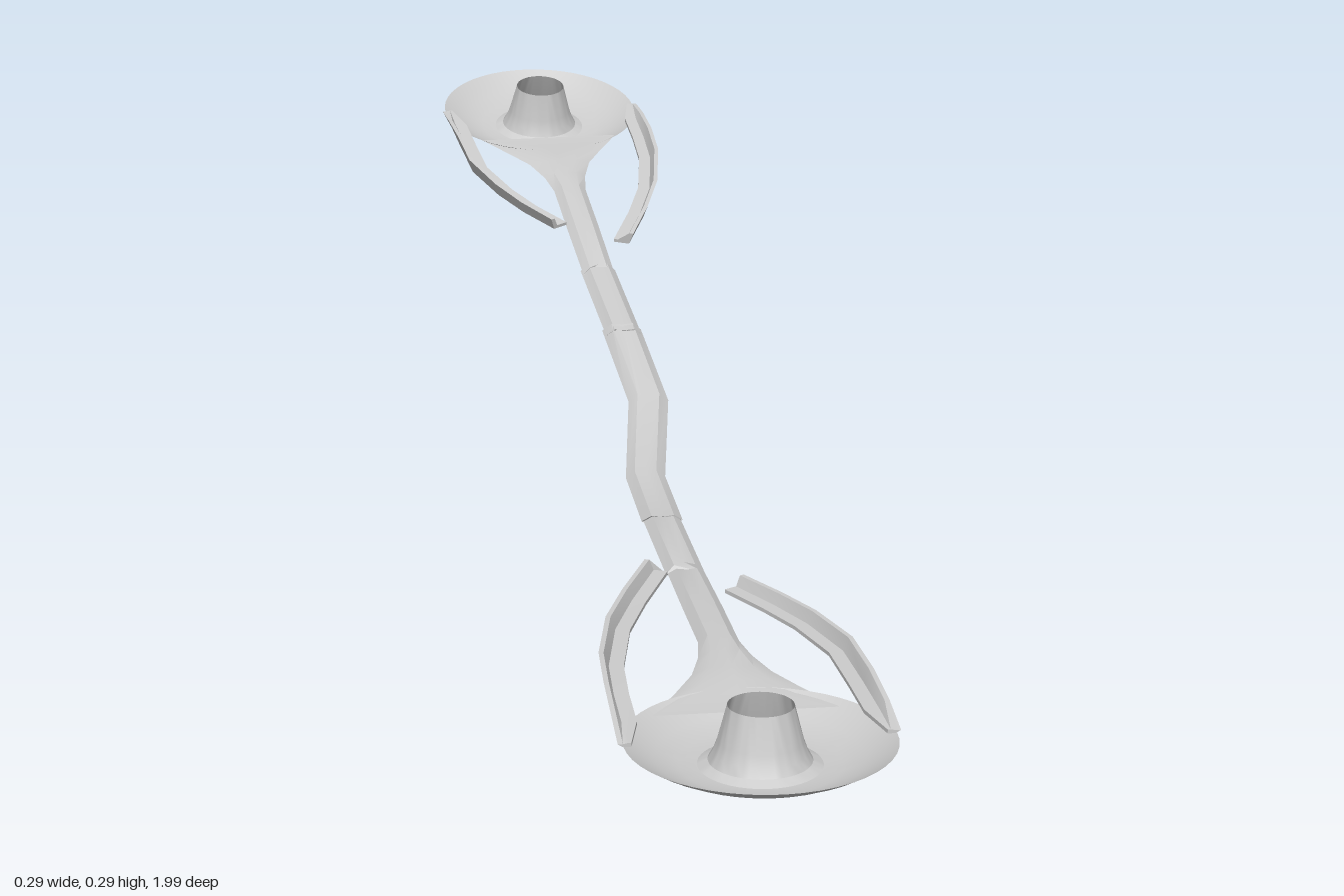
import * as THREE from 'three';
import { toCreasedNormals } from 'three/addons/utils/BufferGeometryUtils.js';

const grey = new THREE.MeshStandardMaterial({ color: 0xcccccc, side: THREE.DoubleSide });

function addMesh(parent, geometry, name) {
  const mesh = new THREE.Mesh(toCreasedNormals(geometry, 0.5), grey);
  mesh.name = name;
  parent.add(mesh);
  return mesh;
}

// Skin a row of equal closed loops (counter-clockwise, running towards +z), capped at both ends
function loft(loops) {
  const n = loops[0].length, pos = [], idx = [];
  loops.forEach(l => l.forEach(p => pos.push(...p)));
  for (let i = 0; i < loops.length - 1; i++) {
    for (let j = 0; j < n; j++) {
      const a = i * n + j, b = i * n + (j + 1) % n;
      idx.push(a, b, b + n, a, b + n, a + n);
    }
  }
  const last = (loops.length - 1) * n;
  for (let j = 1; j < n - 1; j++) {
    idx.push(0, j + 1, j, last, last + j, last + j + 1);
  }
  const g = new THREE.BufferGeometry();
  g.setAttribute('position', new THREE.Float32BufferAttribute(pos, 3));
  g.setIndex(idx);
  return g;
}

// Flat six-sided section; shift(x) moves points along z for pointed or curved ends
function bar(x, y, z, halfWidth, halfHeight, shift = () => 0) {
  return [[1, 0], [0.55, 1], [0, 1.1], [-0.55, 1], [-1, 0], [-0.55, -1], [0, -1.1], [0.55, -1]]
    .map(([u, v]) => [x + u * halfWidth, y + v * halfHeight, z + shift(u * halfWidth)]);
}
const chevron = x => 0.012 - Math.abs(x) * 0.55;

// Shallow dish with a hollow cone rising from its middle, one open sheet
function dish(parent) {
  const profile = [[0.131, 0.025], [0.118, 0.017], [0.1, 0.008], [0.078, 0.001], [0.06, 0.0],
    [0.05, 0.005], [0.045, 0.014], [0.041, 0.025], [0.032, 0.06]]
    .map(([r, y]) => new THREE.Vector2(r, y));
  addMesh(parent, new THREE.LatheGeometry(profile, 48), 'dish');
}

// Stem that flares out to hug the dish rim
function stem(parent) {
  const arc = x => 0.125 - Math.sqrt(0.125 ** 2 - x * x);
  const loops = [
    bar(0, 0.018, -0.48, 0.02, 0.007, chevron),
    bar(0, 0.022, -0.36, 0.021, 0.008),
    bar(0, 0.025, -0.255, 0.021, 0.008),
    bar(0, 0.025, -0.215, 0.027, 0.007),
    bar(0, 0.024, -0.175, 0.04, 0.006, x => arc(x) * 0.5),
    bar(0, 0.022, -0.145, 0.062, 0.005, x => arc(x) * 0.8),
    bar(0, 0.02, -0.122, 0.092, 0.003, arc),
  ];
  addMesh(parent, loft(loops), 'flaredStem');
}

// Curved prong with an angled section; path holds [x, base y, z, height] from tip to rim
function prong(parent, path, side, name) {
  const loops = path.map(([x, y, z, h], i) => {
    const a = path[Math.max(i - 1, 0)], b = path[Math.min(i + 1, path.length - 1)];
    const t = new THREE.Vector2(b[0] - a[0], b[2] - a[2]).normalize();
    const out = [t.y * side, -t.x * side];
    const w = i === path.length - 1 ? 0.008 : 0.02;
    const loop = [[0, 0], [0.005, h], [0, h], [-0.005, 0.004], [-w, 0.004], [-w, 0]]
      .map(([u, v]) => [x + out[0] * u, y + v, z + out[1] * u]);
    return side > 0 ? loop : loop.reverse();
  });
  addMesh(parent, loft(loops), name);
}

// One end of the model: dish, stem and two uneven prongs
function endUnit(name) {
  const g = new THREE.Group();
  g.name = name;
  dish(g);
  stem(g);
  prong(g, [[0.042, 0.034, -0.38, 0.015], [0.073, 0.032, -0.325, 0.016], [0.098, 0.031, -0.27, 0.017],
    [0.121, 0.029, -0.195, 0.018], [0.126, 0.027, -0.115, 0.018], [0.129, 0.025, -0.05, 0.012],
    [0.13, 0.024, 0, 0.003]], 1, 'shortProng');
  prong(g, [[-0.046, 0.036, -0.435, 0.015], [-0.08, 0.033, -0.355, 0.016], [-0.107, 0.031, -0.28, 0.017],
    [-0.126, 0.029, -0.185, 0.018], [-0.13, 0.027, -0.115, 0.018], [-0.131, 0.025, -0.05, 0.012],
    [-0.131, 0.024, 0, 0.003]], -1, 'longProng');
  return g;
}

export function createModel() {
  const model = new THREE.Group();
  model.name = 'doubleDishArm';

  const front = endUnit('frontEnd');
  front.position.set(0.008, 0, 0.867);
  const rear = endUnit('rearEnd');
  rear.rotation.order = 'YXZ';
  rear.rotation.set(-0.22, Math.PI + 0.053, 0);
  rear.position.set(-0.012, 0.222, -0.873);
  model.add(front, rear);

  // Bent arm in overlapping sleeves with pointed ends
  const rearSleeve = [bar(0.013, 0.136, -0.415, 0.022, 0.009, x => -chevron(x)),
    bar(0.023, 0.102, -0.235, 0.022, 0.009, chevron)];
  const middle = [
    bar(0.022, 0.104, -0.25, 0.024, 0.01, chevron),
    bar(0.034, 0.06, -0.095, 0.024, 0.009),
    bar(0.01, 0.015, 0.055, 0.023, 0.008),
    bar(0.006, 0.019, 0.22, 0.023, 0.008, chevron),
  ];
  const frontSleeve = [bar(0.006, 0.019, 0.2, 0.021, 0.007, chevron),
    bar(0.007, 0.018, 0.39, 0.021, 0.008, x => -chevron(x))];
  addMesh(model, loft(rearSleeve), 'rearSleeve');
  addMesh(model, loft(middle), 'bentMiddle');
  addMesh(model, loft(frontSleeve), 'frontSleeve');
  return model;
}
